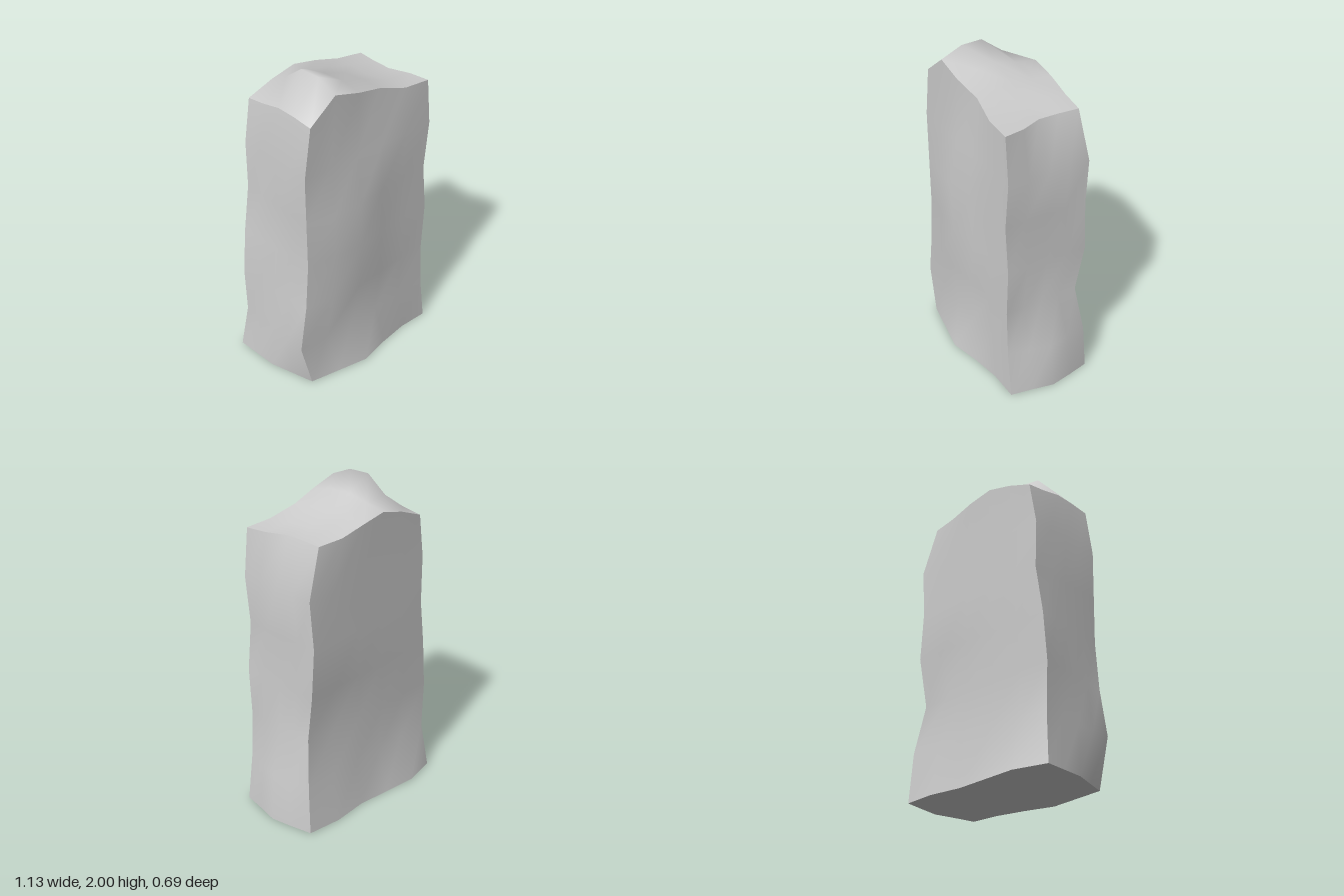
import * as THREE from 'three';

// Outline of the stone at rows y = 0, 0.3 ... 1.5 and the top.
// Side faces: x from back to front.
const LEFT = [
  [-0.57, -0.55, -0.46], [-0.535, -0.535, -0.535], [-0.545, -0.52, -0.49], [-0.52, -0.49, -0.47],
  [-0.475, -0.475, -0.475], [-0.48, -0.48, -0.48], [-0.435, -0.435, -0.435],
];
const RIGHT = [
  [0.51, 0.54, 0.565, 0.535, 0.51], [0.5, 0.54, 0.47], [0.455, 0.455, 0.455], [0.47, 0.47, 0.47],
  [0.45, 0.44, 0.44], [0.475, 0.48, 0.47], [0.38, 0.37, 0.37, 0.42, 0.44],
];
// Broad faces: z from left to right.
const BACK = [
  [-0.3, -0.345, -0.32, -0.295, -0.31, -0.28], [-0.265, -0.265, -0.26], [-0.265, -0.26, -0.215],
  [-0.265, -0.265, -0.265], [-0.27, -0.27, -0.265], [-0.265, -0.265, -0.26],
  [-0.27, -0.27, -0.27, -0.27, -0.26, -0.24],
];
const FRONT = [
  [0.27, 0.305, 0.34, 0.295, 0.265, 0.265], [0.265, 0.27, 0.265], [0.265, 0.29, 0.31, 0.29, 0.27, 0.265],
  [0.265, 0.29, 0.31, 0.28, 0.27, 0.265], [0.265, 0.3, 0.315, 0.29, 0.27, 0.265], [0.265, 0.27, 0.265],
  [0.265, 0.265, 0.26, 0.235, 0.26, 0.265],
];
// Top heights from left to right, one row for each step from back to front.
const TOP = [
  [1.77, 1.83, 1.87, 1.84, 1.8, 1.79],
  [1.79, 1.9, 1.89, 1.85, 1.81, 1.79],
  [1.82, 2.0, 1.92, 1.86, 1.8, 1.79],
  [1.82, 2.0, 1.92, 1.86, 1.8, 1.79],
  [1.81, 1.945, 1.895, 1.85, 1.8, 1.79],
];

// Value of an evenly spaced profile at t in 0..1
function sample(list, t) {
  const p = t * (list.length - 1);
  const i = Math.min(Math.floor(p), list.length - 2);
  return THREE.MathUtils.lerp(list[i], list[i + 1], p - i);
}

export function createModel() {
  const group = new THREE.Group();
  group.name = 'standingStone';

  // Subdivided block pushed onto the outline; each face keeps its own smooth normals
  const geometry = new THREE.BoxGeometry(1, 1, 1, 5, 6, 4);
  const pos = geometry.attributes.position;
  for (let i = 0; i < pos.count; i++) {
    const u = pos.getX(i) + 0.5;
    const v = pos.getZ(i) + 0.5;
    const row = Math.round((pos.getY(i) + 0.5) * 6);
    const x = THREE.MathUtils.lerp(sample(LEFT[row], v), sample(RIGHT[row], v), u);
    const z = THREE.MathUtils.lerp(sample(BACK[row], u), sample(FRONT[row], u), v);
    const y = row === 6 ? sample(TOP[Math.round(v * 4)], u) : row * 0.3;
    pos.setXYZ(i, x, y, z);
  }
  geometry.computeVertexNormals();

  const stone = new THREE.Mesh(geometry, new THREE.MeshStandardMaterial({ color: 0xcccccc }));
  stone.name = 'stoneBlock';
  group.add(stone);
  return group;
}
